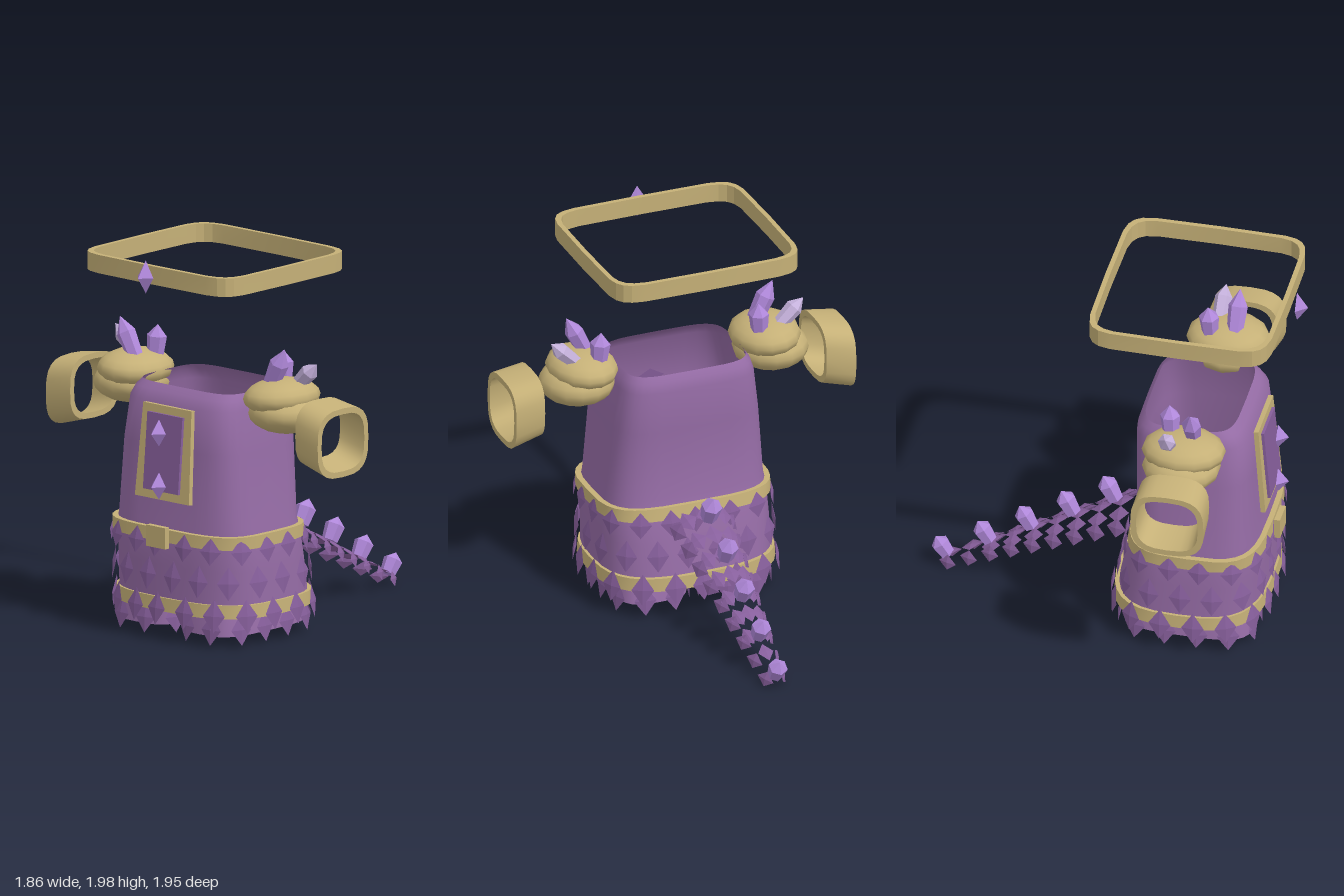
import * as THREE from 'three';
import { toCreasedNormals } from 'three/addons/utils/BufferGeometryUtils.js';

const mat = (name, color) => {
  const m = new THREE.MeshStandardMaterial({ color, side: THREE.DoubleSide });
  m.name = name;
  return m;
};

// Rounded-square loop point; s = [y, rx, cz, rz, exponent, cx]
function loopPoint([y, rx, cz, rz, e, cx = 0], t) {
  const c = Math.cos(t), s = Math.sin(t);
  return new THREE.Vector3(
    cx + rx * Math.sign(c) * Math.abs(c) ** e, y,
    cz + rz * Math.sign(s) * Math.abs(s) ** e);
}

// Skin through a list of loops
function loft(sections, n = 32, crease = 0.8) {
  const pos = [], idx = [];
  sections.forEach((s) => {
    for (let j = 0; j < n; j++) pos.push(...loopPoint(s, (j / n) * Math.PI * 2).toArray());
  });
  for (let i = 0; i < sections.length - 1; i++) {
    for (let j = 0; j < n; j++) {
      const a = i * n + j, b = i * n + ((j + 1) % n);
      idx.push(a, a + n, b, b, a + n, b + n);
    }
  }
  const g = new THREE.BufferGeometry();
  g.setAttribute('position', new THREE.Float32BufferAttribute(pos, 3));
  g.setIndex(idx);
  return toCreasedNormals(g, crease);
}

// Closed band with a wall thickness
function band(lo, hi, w, n, crease) {
  const inset = ([y, rx, cz, rz, e, cx]) => [y, rx - w, cz, rz - w, e, cx];
  return loft([lo, hi, inset(hi), inset(lo), lo], n, crease);
}

// Evenly spaced places and outward headings along a loop, starting at the front
function around(section, count, offset) {
  const N = 720, pts = [], len = [0];
  for (let i = 0; i <= N; i++) {
    pts.push(loopPoint(section, Math.PI / 2 + (i / N) * Math.PI * 2));
    if (i) len.push(len[i - 1] + pts[i].distanceTo(pts[i - 1]));
  }
  return Array.from({ length: count }, (_, k) => {
    const d = ((k + offset) / count) * len[N];
    const i = Math.min(N - 1, len.findIndex((l) => l > d));
    const a = pts[Math.max(0, i - 8)], b = pts[Math.min(N, i + 8)];
    return { p: pts[i], yaw: Math.atan2(b.z - a.z, -(b.x - a.x)) };
  });
}

export function createModel() {
  const root = new THREE.Group();
  const cloth = mat('purple cloth', 0x946ba4);
  const scaleMat = mat('dark purple scale', 0x875f9c);
  const gold = mat('old gold', 0xc5b077);
  const crystalMat = mat('violet crystal', 0xb088da);
  const paleMat = mat('pale crystal', 0xc6b2dd);

  const add = (name, geo, material, parent = root) => {
    const m = new THREE.Mesh(geo, material);
    m.name = name;
    parent.add(m);
    return m;
  };
  const group = (name) => {
    const g = new THREE.Group();
    g.name = name;
    root.add(g);
    return g;
  };

  // Robe body, open at neck and hem
  add('robe', loft([
    [0.17, 0.465, 0.40, 0.385, 0.68],
    [0.40, 0.455, 0.42, 0.36, 0.62],
    [0.56, 0.445, 0.44, 0.335, 0.55],
    [0.62, 0.43, 0.445, 0.315, 0.5],
    [1.00, 0.395, 0.437, 0.307, 0.45],
    [1.22, 0.365, 0.425, 0.295, 0.42],
    [1.27, 0.35, 0.415, 0.27, 0.42],
    [1.30, 0.33, 0.41, 0.24, 0.42],
  ]), cloth);

  // Belt, buckle and hem band
  add('belt', band([0.525, 0.468, 0.44, 0.36, 0.57], [0.59, 0.468, 0.445, 0.35, 0.55], 0.03), gold);
  add('buckle', new THREE.BoxGeometry(0.13, 0.11, 0.03), gold).position.set(0, 0.555, 0.823);
  add('hemBand', band([0.165, 0.482, 0.40, 0.4, 0.68], [0.235, 0.477, 0.40, 0.395, 0.67], 0.025), gold);

  // Rows of thin diamond scales
  const diamond = new THREE.OctahedronGeometry(1);
  const scales = group('skirtScales');
  const scaleRow = (section, count, offset, h) => {
    for (const { p, yaw } of around(section, count, offset)) {
      const m = add('scale', diamond, scaleMat, scales);
      m.position.copy(p);
      m.rotation.set(-0.12, yaw, 0, 'YXZ');
      m.scale.set(0.058, h, 0.009);
    }
  };
  scaleRow([0.515, 0.472, 0.435, 0.37, 0.57], 18, 0, 0.07);
  scaleRow([0.35, 0.482, 0.415, 0.385, 0.64], 18, 0.5, 0.085);
  scaleRow([0.18, 0.493, 0.40, 0.41, 0.68], 18, 0, 0.085);

  // Trouser legs under the skirt, each with its own rows of scales
  for (const s of [1, -1]) {
    add(s > 0 ? 'leftLeg' : 'rightLeg', loft([
      [0.07, 0.2, 0.42, 0.33, 0.55, s * 0.215],
      [0.25, 0.185, 0.43, 0.29, 0.5, s * 0.2],
      [0.5, 0.13, 0.44, 0.2, 0.4, s * 0.165],
    ]), cloth);
    scaleRow([0.105, 0.21, 0.41, 0.35, 0.58, s * 0.225], 12, 0.5, 0.08);
    scaleRow([0.27, 0.188, 0.43, 0.295, 0.5, s * 0.2], 10, 0, 0.08);
  }

  // Tail: wide arched rows of scales shrinking towards the tip
  const tail = group('tail');
  for (let i = 0; i < 9; i++) {
    const k = i / 8, w = 0.155 - 0.105 * k, h = 0.085 - 0.045 * k;
    const count = i < 7 ? 5 : 3;
    for (let j = 0; j < count; j++) {
      const a = (j / (count - 1) - 0.5) * 2.7;
      const arm = new THREE.Group();
      arm.position.set(w * Math.sin(a), 0.555 - 0.47 * k - h * (1 - Math.cos(a)), 0.01 - 0.9 * k);
      arm.rotation.z = -Math.atan2(h * Math.sin(a), w * Math.cos(a));
      tail.add(arm);
      const m = add('tailScale', diamond, scaleMat, arm);
      m.rotation.x = -0.45;
      m.scale.set(0.05 - 0.01 * k, 0.009, 0.062 - 0.008 * k);
    }
  }

  // Six-sided pointed crystal from base to tip
  const crystal = (name, base, tip, r, material, parent) => {
    const a = new THREE.Vector3(...base), d = new THREE.Vector3(...tip).sub(a), L = d.length();
    const profile = [[0, 0], [r * 0.8, 0], [r, L * 0.65], [0, L]].map((p) => new THREE.Vector2(...p));
    const m = add(name, toCreasedNormals(new THREE.LatheGeometry(profile, 6), 0.2), material, parent);
    m.position.copy(a);
    m.quaternion.setFromUnitVectors(new THREE.Vector3(0, 1, 0), d.normalize());
  };
  for (let i = 0; i < 5; i++) {
    const z = -0.03 - 0.217 * i, y = 0.56 - 0.122 * i;
    crystal('tailCrystal', [0, y, z], [0, y + 0.13 - 0.008 * i, z - 0.065], 0.054 - 0.001 * i, crystalMat, tail);
  }

  // Chest plate: gold frame and inset panel
  const plate = group('chestPlate');
  plate.position.set(0, 0.975, 0.745);
  plate.rotation.x = -0.085;
  const frame = new THREE.Shape([[-0.185, -0.24], [0.185, -0.24], [0.165, 0.24], [-0.165, 0.24]]
    .map((p) => new THREE.Vector2(...p)));
  frame.holes.push(new THREE.Path([[-0.12, -0.195], [-0.12, 0.2], [0.12, 0.2], [0.12, -0.195]]
    .map((p) => new THREE.Vector2(...p))));
  add('plateFrame', new THREE.ExtrudeGeometry(frame, { depth: 0.025, bevelEnabled: false }), gold, plate);
  add('platePanel', new THREE.BoxGeometry(0.24, 0.395, 0.04), scaleMat, plate).position.set(0, 0.002, 0.02);

  // Flat-backed diamond gems on the chest and in front of the circlet
  const gemGeo = diamond.clone();
  const gp = gemGeo.attributes.position;
  for (let i = 0; i < gp.count; i++) if (gp.getZ(i) < 0) gp.setZ(i, -0.12);
  gemGeo.computeVertexNormals();
  const gem = (name, y, z, w, h) => {
    const m = add(name, gemGeo, crystalMat);
    m.position.set(0, y, z);
    m.scale.set(w, h, 0.058);
  };
  gem('upperGem', 1.09, 0.812, 0.047, 0.07);
  gem('lowerGem', 0.815, 0.812, 0.047, 0.07);
  gem('circletGem', 1.915, 0.911, 0.052, 0.085);

  // Floating circlet
  add('circlet', band([1.87, 0.515, 0.395, 0.475, 0.25], [1.965, 0.515, 0.395, 0.475, 0.25], 0.025, 24, 0.3), gold);

  // Shoulders and cuffs, mirrored
  const ball = new THREE.SphereGeometry(1, 14, 10);
  for (const s of [1, -1]) {
    const side = group(s > 0 ? 'leftArm' : 'rightArm');
    const lower = add('lowerPauldron', ball, gold, side);
    lower.position.set(s * 0.53, 1.22, 0.435);
    lower.scale.set(0.195, 0.108, 0.2);
    const upper = add('upperPauldron', ball, gold, side);
    upper.position.set(s * 0.5, 1.295, 0.44);
    upper.rotation.z = s * 0.05;
    upper.scale.set(0.18, 0.095, 0.215);

    crystal('innerCrystal', [s * 0.44, 1.34, 0.36], [s * 0.43, 1.51, 0.35], 0.052, crystalMat, side);
    crystal('tallCrystal', [s * 0.45, 1.33, 0.48], [s * 0.565, 1.555, 0.487], 0.05, crystalMat, side);
    crystal('outerCrystal', [s * 0.55, 1.35, 0.38], [s * 0.69, 1.48, 0.385], 0.045, paleMat, side);

    // Cuff runs along x with upright ends, the outer one a little lower
    const cuff = add('cuff', band(
      [-0.08, 0.168, 0, 0.183, 0.66, -s * 0.018],
      [0.08, 0.178, 0, 0.19, 0.66, s * 0.018], 0.03, 24, 0.7), gold, side);
    cuff.position.set(s * 0.85, 1.14, 0.452);
    cuff.rotation.z = -s * Math.PI / 2;
  }
  return root;
}
